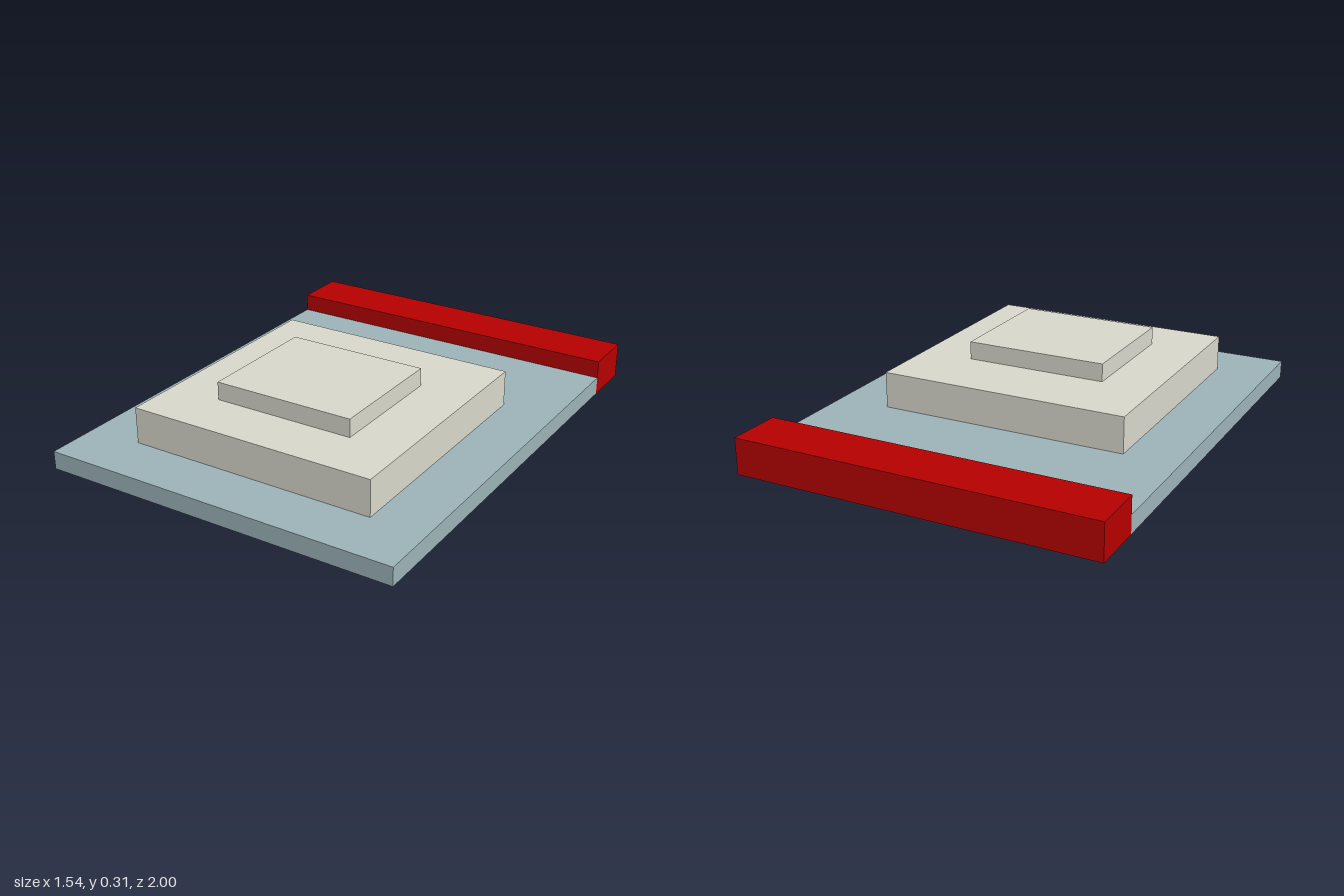
import * as THREE from 'three';

const U = 1 / 13; // module size: the slab is 26 modules long

const material = (name, color) => {
  const m = new THREE.MeshStandardMaterial({ color });
  m.name = name;
  return m;
};

// Box given by its min and max corners, in modules
function block(name, mat, [x0, y0, z0], [x1, y1, z1]) {
  const geometry = new THREE.BoxGeometry((x1 - x0) * U, (y1 - y0) * U, (z1 - z0) * U);
  const mesh = new THREE.Mesh(geometry, mat);
  mesh.name = name;
  mesh.position.set((x0 + x1) / 2 * U, (y0 + y1) / 2 * U, (z0 + z1) / 2 * U);
  return mesh;
}

export function createModel() {
  const blueGrey = material('blue grey', 0x9bb2b7);
  const stone = material('warm stone grey', 0xd7d6ca);
  const red = material('deep red', 0xb40000);

  const model = new THREE.Group();
  model.name = 'steppedPlatform';
  model.add(
    block('baseSlab', blueGrey, [-10, 0, -10], [10, 1, 13]),
    block('rearBar', red, [-10, 0, -13], [10, 2, -10]),
    block('lowerStep', stone, [-7, 1, -4], [7, 3, 10]),
    block('upperStep', stone, [-4, 3, 0], [4, 4, 7]),
  );
  return model;
}
